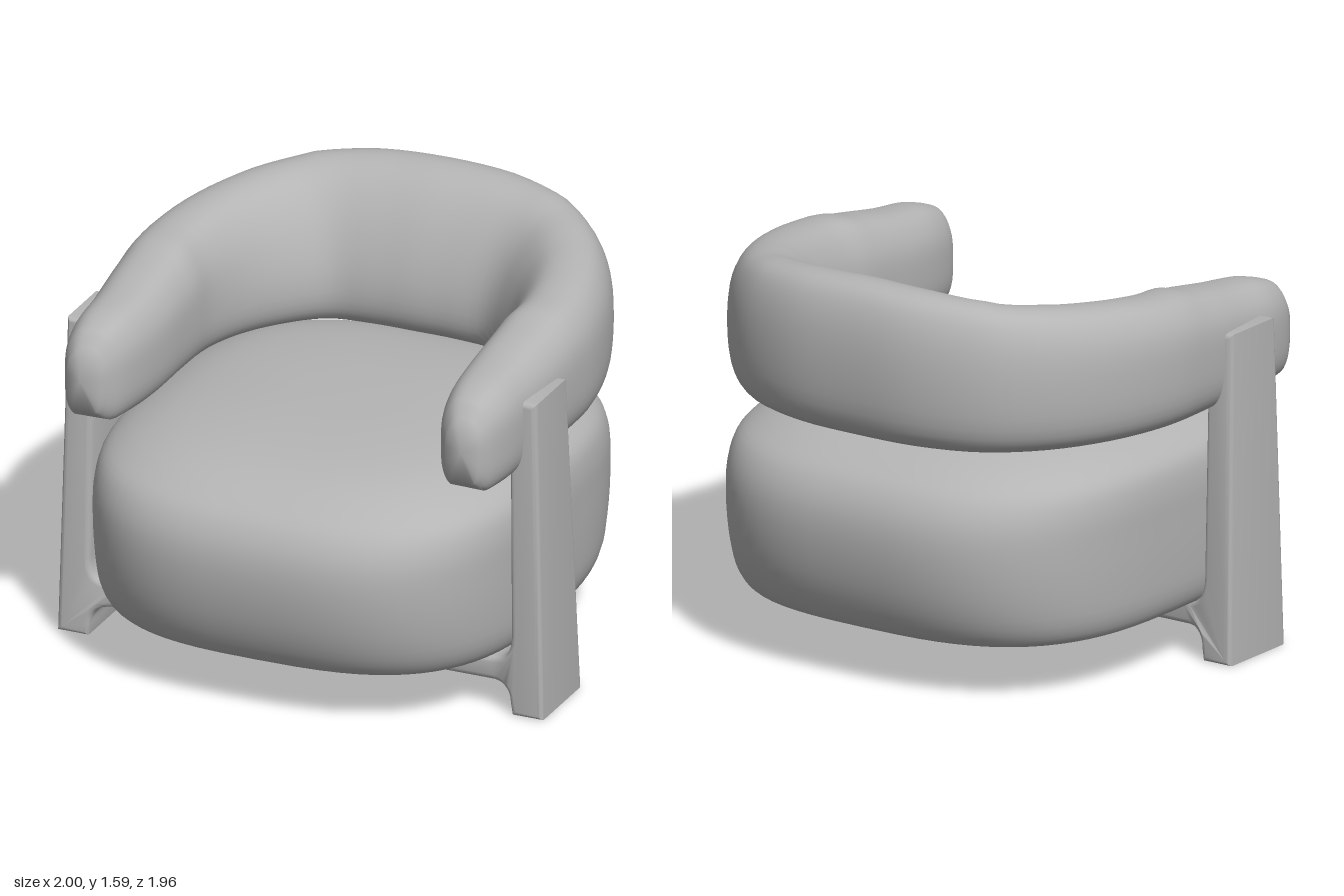
import * as THREE from 'three';
import { mergeVertices, toCreasedNormals } from 'three/addons/utils/BufferGeometryUtils.js';

// Skin closed rings of equal length and close both ends with a fan.
function loft(rings, startTip, endTip, crease) {
  const n = rings[0].length, pos = [], idx = [];
  rings.forEach(r => r.forEach(p => pos.push(p.x, p.y, p.z)));
  pos.push(...startTip, ...endTip);
  const s = rings.length * n, e = s + 1, last = (rings.length - 1) * n;
  for (let i = 0; i < n; i++) {
    const j = (i + 1) % n;
    for (let k = 0; k < last; k += n) {
      idx.push(k + i, k + j, k + n + j, k + i, k + n + j, k + n + i);
    }
    idx.push(s, j, i, e, last + i, last + j);
  }
  const g = new THREE.BufferGeometry();
  g.setAttribute('position', new THREE.Float32BufferAttribute(pos, 3));
  g.setIndex(idx);
  return toCreasedNormals(g, crease);
}

const curve = (pts, closed = false) =>
  new THREE.CatmullRomCurve3(pts.map(p => new THREE.Vector3(p[0], p[1], p[2] ?? 0)), closed);

// Plump cushion: rounded-square outlines stacked along a profile.
function seatGeometry() {
  // half width, height, half depth
  const profile = curve([
    [0.79, 0.21, 0.81], [0.83, 0.225, 0.855], [0.86, 0.29, 0.905], [0.87, 0.42, 0.955],
    [0.872, 0.6, 0.98], [0.87, 0.72, 0.965], [0.85, 0.81, 0.915], [0.79, 0.87, 0.83],
    [0.69, 0.92, 0.72], [0.57, 0.953, 0.58], [0.33, 0.978, 0.33], [0.1, 0.985, 0.1],
  ]);
  const power = 2 / 2.9, soft = v => Math.sign(v) * Math.abs(v) ** power;
  const rings = profile.getPoints(36).map(p => Array.from({ length: 72 }, (_, i) => {
    const a = i / 72 * Math.PI * 2;
    return new THREE.Vector3(p.x * soft(Math.cos(a)), p.y, -p.z * soft(Math.sin(a)));
  }));
  return loft(rings, [0, 0.21, 0], [0, 0.985, 0], 0.7);
}

// Horseshoe backrest: one section swept between an inner and an outer line.
function backrestGeometry() {
  // inner x, inner z, outer x, outer z, top, bottom, back-section weight
  const half = [
    [0, -0.51, 0, -0.98, 1.59, 0.99, 1],
    [0.16, -0.51, 0.3, -0.96, 1.582, 0.99, 1],
    [0.32, -0.49, 0.56, -0.86, 1.56, 0.99, 1],
    [0.45, -0.37, 0.75, -0.68, 1.53, 0.99, 0.8],
    [0.54, -0.23, 0.88, -0.43, 1.505, 0.99, 0.5],
    [0.59, -0.07, 0.945, -0.15, 1.48, 0.99, 0.25],
    [0.6, 0.1, 0.945, 0.1, 1.45, 0.99, 0],
    [0.605, 0.35, 0.922, 0.38, 1.405, 0.99, 0],
    [0.625, 0.52, 0.912, 0.54, 1.385, 0.99, 0],
    [0.66, 0.64, 0.885, 0.65, 1.35, 0.993, 0],
    [0.71, 0.71, 0.85, 0.71, 1.28, 1.04, 0],
  ];
  const mirrored = half.slice(1).reverse().map(([a, b, c, ...r]) => [-a, b, -c, ...r]);
  const stations = [...mirrored, ...half];
  const inner = curve(stations.map(s => [s[0], 0, s[1]]));
  const outer = curve(stations.map(s => [s[2], 0, s[3]]));
  const span = curve(stations.map(s => s.slice(4)));
  // sections: across from inner to outer, then height
  const arm = curve([[0.18, 0], [0.82, 0], [0.96, 0.14], [1, 0.45], [0.96, 0.76], [0.78, 0.95],
    [0.5, 1], [0.22, 0.95], [0.04, 0.74], [0, 0.45], [0.04, 0.14]], true).getPoints(44).slice(0, -1);
  const back = curve([[0.13, 0], [0.8, 0], [0.94, 0.12], [1, 0.45], [0.96, 0.78], [0.85, 0.95],
    [0.66, 1], [0.42, 0.93], [0.18, 0.7], [0.02, 0.36], [0.02, 0.12]], true).getPoints(44).slice(0, -1);
  const rings = [];
  for (let k = 0; k <= 80; k++) {
    const a = inner.getPoint(k / 80), b = outer.getPoint(k / 80), s = span.getPoint(k / 80);
    rings.push(arm.map((p, i) => {
      const q = p.clone().lerp(back[i], s.z);
      const v = a.clone().lerp(b, q.x);
      v.y = s.y + (s.x - s.y) * Math.max(0, q.y);
      return v;
    }));
  }
  return loft(rings, [-0.785, 1.17, 0.735], [0.785, 1.17, 0.735], 0.8);
}

// Frame: both legs and the crossbar as one bevelled outline, tapered in depth.
function frameGeometry() {
  const b = 0.022;
  const s = new THREE.Shape();
  s.moveTo(-1 + b, b);
  s.lineTo(-0.87 - b, b);
  s.lineTo(-0.865 - b, 0.05);
  s.quadraticCurveTo(-0.86 - b, 0.12 + b, -0.79, 0.12 + b);
  s.lineTo(0.79, 0.12 + b);
  s.quadraticCurveTo(0.86 + b, 0.12 + b, 0.865 + b, 0.05);
  s.lineTo(0.87 + b, b);
  s.lineTo(1 - b, b);
  s.lineTo(0.968 - b, 1.285 - b);
  s.lineTo(0.855 + b, 1.285 - b);
  s.lineTo(0.868 + b, 0.32);
  s.quadraticCurveTo(0.868 + b, 0.215 - b, 0.77, 0.215 - b);
  s.lineTo(-0.77, 0.215 - b);
  s.quadraticCurveTo(-0.868 - b, 0.215 - b, -0.868 - b, 0.32);
  s.lineTo(-0.855 - b, 1.285 - b);
  s.lineTo(-0.968 + b, 1.285 - b);
  s.closePath();
  let g = new THREE.ExtrudeGeometry(s, {
    depth: 1 - 2 * b, bevelSize: b, bevelThickness: b, bevelSegments: 4, curveSegments: 8,
  });
  g.translate(0, 0, b);
  const p = g.attributes.position;
  for (let i = 0; i < p.count; i++) {
    const t = p.getY(i) / 1.285;
    const inset = 0.025 * (1 - THREE.MathUtils.smoothstep(Math.abs(p.getX(i)), 0.78, 0.88));
    const near = 0.475 - 0.018 * t - inset, far = 0.11 + 0.06 * t + inset;
    // keep the bevel round while the depth shrinks
    const z = p.getZ(i);
    p.setZ(i, z < 0.5 ? far + z : near - (1 - z));
  }
  g.deleteAttribute('uv');
  g.deleteAttribute('normal');
  g = mergeVertices(g, 1e-4);
  return toCreasedNormals(g, 0.7);
}

export function createModel() {
  const grey = new THREE.MeshStandardMaterial({ color: 0xb4b4b4 });
  grey.name = 'grey';
  const group = new THREE.Group();
  group.name = 'armchair';
  const parts = {
    seatCushion: seatGeometry(),
    backrest: backrestGeometry(),
    legFrame: frameGeometry(),
  };
  for (const [name, geometry] of Object.entries(parts)) {
    const mesh = new THREE.Mesh(geometry, grey);
    mesh.name = name;
    group.add(mesh);
  }
  return group;
}
